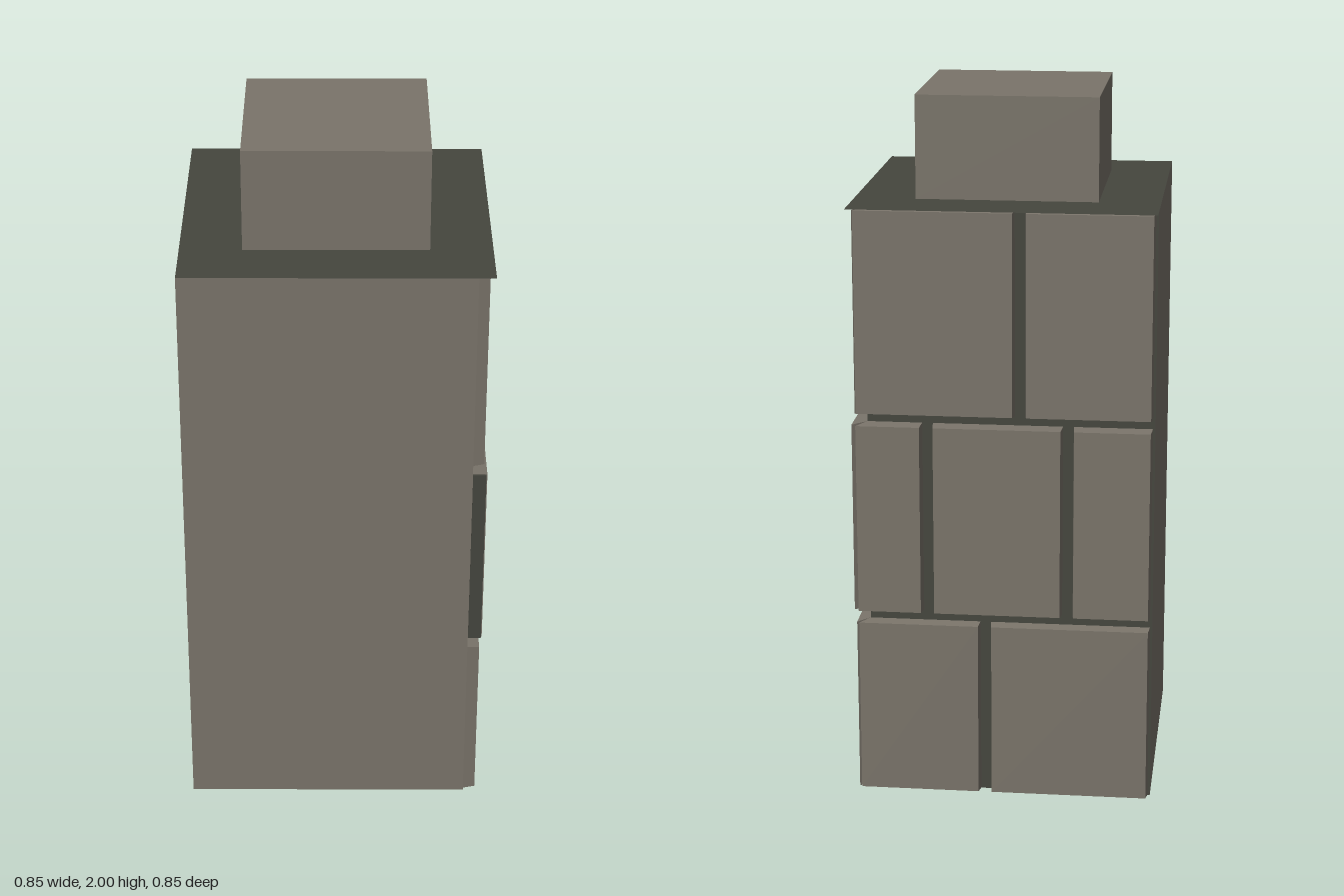
import * as THREE from 'three';

const stone = new THREE.MeshStandardMaterial({ name: 'warm grey stone', color: 0x7a746a, side: THREE.DoubleSide });
const mortar = new THREE.MeshStandardMaterial({ name: 'dark mortar', color: 0x45463e, side: THREE.DoubleSide });

const HALF = 0.427;   // outer half width
const CORE = 0.38;    // depth of the recessed mortar walls
const TOP = 1.71;     // height of the pillar body
const GAP = 0.03;     // joint width
const BEVEL = 0.004;  // inset of a block's outer face

function addMesh(parent, name, geometry, material, x = 0, y = 0, z = 0) {
  const mesh = new THREE.Mesh(geometry, material);
  mesh.name = name;
  mesh.position.set(x, y, z);
  parent.add(mesh);
  return mesh;
}

// Block on a wall: back face on z = CORE, outer face given by its four edges
function blockGeometry(back, outer, depth) {
  const geo = new THREE.BoxGeometry(1, 1, 1);
  const p = geo.attributes.position;
  for (let i = 0; i < p.count; i++) {
    const isOuter = p.getZ(i) > 0;
    const [u0, u1, y0, y1] = isOuter ? outer : back;
    p.setXYZ(i, p.getX(i) < 0 ? u0 : u1, p.getY(i) < 0 ? y0 : y1, isOuter ? depth : CORE);
  }
  geo.computeVertexNormals();
  return geo;
}

// One wall of three courses; u runs left to right as seen from outside
function blockWall(name, edges, joints, cornerSide) {
  const wall = new THREE.Group();
  wall.name = name;
  const courses = [
    { y0: 0, y1: 0.515, depth: 0.415 },
    { y0: 0.545, y1: 1.1, depth: 0.421 },
    { y0: 1.125, y1: TOP - 0.002, depth: 0.411 },
  ];
  courses.forEach(({ y0, y1, depth }, row) => {
    const stops = [edges[0] - GAP / 2, ...joints[row], edges[1] + GAP / 2];
    for (let i = 0; i + 1 < stops.length; i++) {
      const u0 = stops[i] + GAP / 2, u1 = stops[i + 1] - GAP / 2;
      const back = [u0, u1, y0, y1];
      const outer = [u0 + BEVEL, u1 - BEVEL, y0 + BEVEL, y1 - BEVEL];
      // Blocks at the shared corner are mitred
      if (cornerSide < 0 && i === 0) { back[0] = -CORE; outer[0] = u0; }
      if (cornerSide > 0 && i === stops.length - 2) { back[1] = CORE; outer[1] = u1; }
      addMesh(wall, 'stoneBlock', blockGeometry(back, outer, depth), stone);
    }
  });
  // Recessed mortar behind the blocks
  const m0 = cornerSide < 0 ? -CORE : -HALF, m1 = cornerSide < 0 ? HALF : CORE;
  addMesh(wall, 'mortarWall', new THREE.PlaneGeometry(m1 - m0, TOP), mortar, (m0 + m1) / 2, TOP / 2, CORE);
  return wall;
}

export function createModel() {
  const group = new THREE.Group();
  group.name = 'stonePillar';

  // Plain front and side panels, open at the bottom
  const frontWidth = HALF + CORE;
  addMesh(group, 'frontPanel', new THREE.PlaneGeometry(frontWidth, TOP), stone, (CORE - HALF) / 2, TOP / 2, HALF);
  addMesh(group, 'sidePanel', new THREE.PlaneGeometry(frontWidth, TOP), stone, -HALF, TOP / 2, (HALF - CORE) / 2)
    .rotation.y = -Math.PI / 2;

  // Block walls on the +x side and the back
  const sideWall = blockWall('sideBlockWall', [-0.418, 0.408], [[0.065], [-0.17, 0.17], [-0.05]], 1);
  sideWall.rotation.y = Math.PI / 2;
  const backWall = blockWall('backBlockWall', [-0.408, 0.42], [[-0.048], [-0.21, 0.185], [0.05]], -1);
  backWall.rotation.y = Math.PI;
  group.add(sideWall, backWall);

  // Dark end face of the middle course at the front corner
  addMesh(group, 'middleCourseEnd', new THREE.BoxGeometry(0.037, 0.55, 0.003), mortar, 0.3995, 0.8225, 0.42);

  // Thin dark lid and the smaller block on top
  addMesh(group, 'lid', new THREE.PlaneGeometry(HALF * 2, HALF * 2), mortar, 0, TOP, 0).rotation.x = -Math.PI / 2;
  addMesh(group, 'capBlock', new THREE.BoxGeometry(0.51, 2 - TOP, 0.51), stone, 0, (2 + TOP) / 2, 0);

  return group;
}
